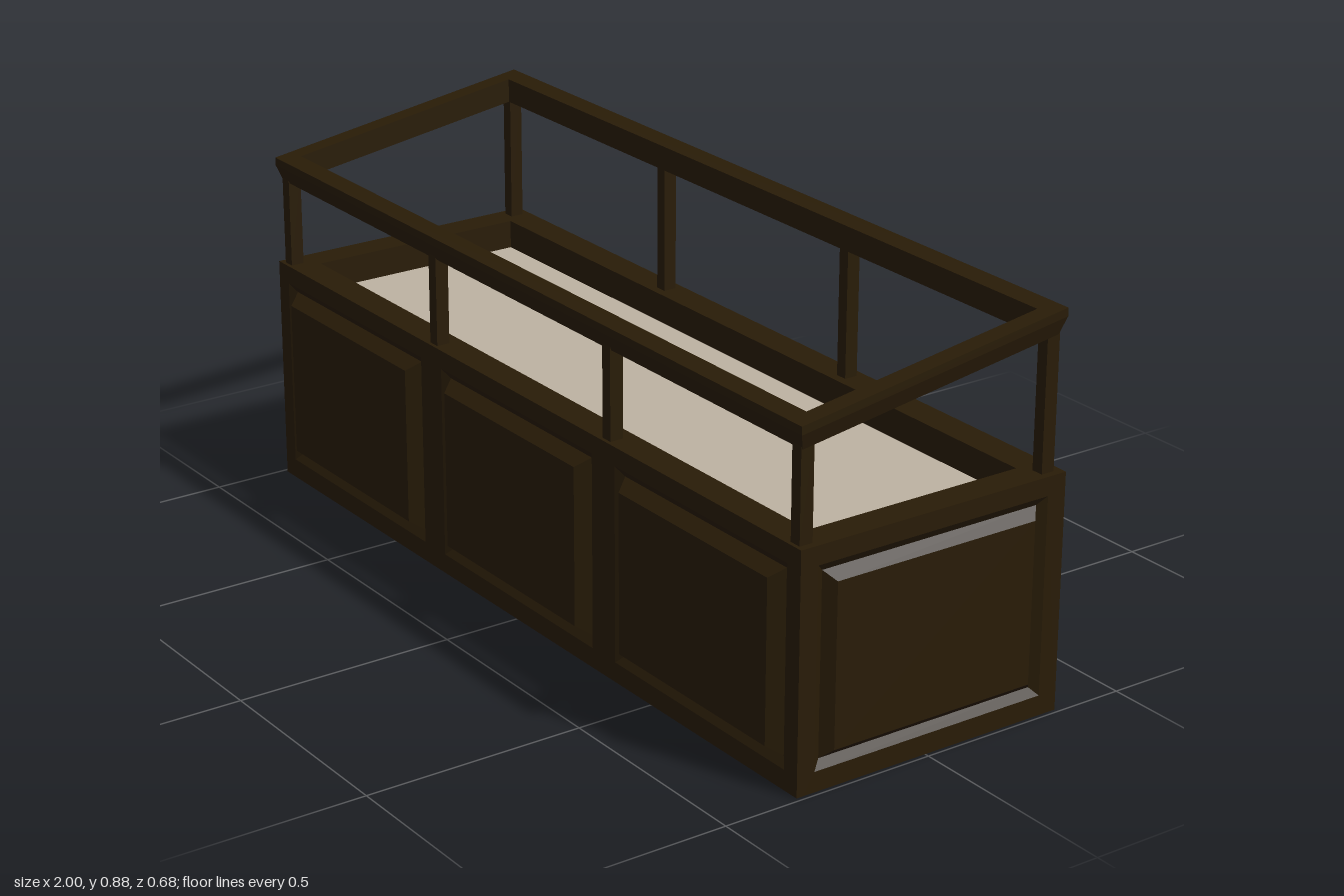
import * as THREE from 'three';

const wood = new THREE.MeshStandardMaterial({ color: 0x291c07 });
wood.name = 'dark wood';
const lining = new THREE.MeshStandardMaterial({ color: 0xbdb2a2 });
lining.name = 'pale lining';

// Body limits
const X = 0.99, FRONT = 0.322, BACK = -0.34, TOP = 0.528, FLOOR = 0.458;
const SKIN = 0.016, WALL = 0.07;

function add(parent, name, geometry, material, x = 0, y = 0, z = 0) {
  const mesh = new THREE.Mesh(geometry, material);
  mesh.name = name;
  mesh.position.set(x, y, z);
  parent.add(mesh);
  return mesh;
}

function rect(shape, x0, y0, x1, y1) {
  shape.moveTo(x0, y0);
  shape.lineTo(x1, y0);
  shape.lineTo(x1, y1);
  shape.lineTo(x0, y1);
  shape.closePath();
  return shape;
}

// Joins four-cornered rings with flat faces; cap closes the last ring
function loft(rings, cap) {
  const pos = [];
  const quad = (a, b, c, d) => [a, b, c, a, c, d].forEach(p => pos.push(...p));
  for (let k = 0; k < rings.length - 1; k++) {
    for (let i = 0; i < 4; i++) {
      const j = (i + 1) % 4;
      quad(rings[k][i], rings[k][j], rings[k + 1][j], rings[k + 1][i]);
    }
  }
  if (cap) quad(...rings[rings.length - 1]);
  const g = new THREE.BufferGeometry();
  g.setAttribute('position', new THREE.Float32BufferAttribute(pos, 3));
  g.computeVertexNormals();
  return g;
}

// Raised field surrounded by a V-shaped groove, facing +z
function raisedPanel(w, h, bump) {
  const profile = [[0, 0], [0.019, -0.013], [0.04, bump]];
  return loft(profile.map(([inset, z]) => {
    const a = w / 2 - inset, b = h / 2 - inset;
    return [[-a, -b, z], [a, -b, z], [a, b, z], [-a, b, z]];
  }), true);
}

// Flat frame with openings filled by raised panels
function panelledFace(name, width, centres, pw, bump) {
  const group = new THREE.Group();
  group.name = name;
  const y0 = 0.045, y1 = 0.486;
  const shape = rect(new THREE.Shape(), -width / 2, 0, width / 2, TOP);
  for (const c of centres) {
    shape.holes.push(rect(new THREE.Path(), c - pw / 2, y0, c + pw / 2, y1));
    add(group, 'raisedPanel', raisedPanel(pw, y1 - y0, bump), wood, c, (y0 + y1) / 2, 0);
  }
  add(group, 'panelFrame', new THREE.ExtrudeGeometry(shape, { depth: SKIN, bevelEnabled: false }),
    wood, 0, 0, -SKIN);
  return group;
}

export function createModel() {
  const model = new THREE.Group();
  model.name = 'displayCounter';

  // Carcass: solid base with an upstanding rim
  const cx = X - SKIN, cf = FRONT - SKIN;
  add(model, 'base', new THREE.BoxGeometry(cx * 2, FLOOR, cf - BACK), wood, 0, FLOOR / 2, (cf + BACK) / 2);
  const rim = rect(new THREE.Shape(), -cx, -cf, cx, -BACK);
  rim.holes.push(rect(new THREE.Path(), -X + WALL, -FRONT + WALL, X - WALL, -BACK - WALL));
  const rimGeo = new THREE.ExtrudeGeometry(rim, { depth: TOP - FLOOR, bevelEnabled: false });
  rimGeo.rotateX(-Math.PI / 2);
  add(model, 'rim', rimGeo, wood, 0, FLOOR, 0);

  // Lined tray floor
  add(model, 'trayLining', new THREE.BoxGeometry((X - WALL) * 2, 0.004, FRONT - BACK - 2 * WALL),
    lining, 0, FLOOR + 0.002, (FRONT + BACK) / 2);

  // Panelled front and ends
  const front = panelledFace('frontFace', X * 2, [-0.66, 0, 0.66], 0.578, 0.018);
  front.position.z = FRONT;
  model.add(front);
  for (const s of [1, -1]) {
    const end = panelledFace(s > 0 ? 'leftEnd' : 'rightEnd', cf - BACK, [-0.009 * s], 0.575, 0.01);
    end.rotation.y = s * Math.PI / 2;
    end.position.set(s * X, 0, (cf + BACK) / 2);
    model.add(end);
  }

  // Sloping top rail, mitred at the corners
  const railTop = z => 0.828 - 0.149 * z;
  const profile = [[0, 0], [0.043, 0], [0.043, -0.055], [0.012, -0.055], [0, -0.018], [0, 0]];
  const rings = profile.map(([inset, drop]) => {
    const x = 0.987 - inset, f = 0.323 - inset, b = -0.329 + inset;
    return [[-x, f], [x, f], [x, b], [-x, b]].map(([px, pz]) => [px, railTop(pz) + drop, pz]);
  });
  add(model, 'topRail', loft(rings, false), wood);

  // Posts along the front and back
  for (const z of [0.298, -0.306]) {
    const h = railTop(z) - 0.03 - TOP;
    for (const x of [-0.96, -0.33, 0.33, 0.96]) {
      add(model, z > 0 ? 'frontPost' : 'backPost', new THREE.BoxGeometry(0.028, h, 0.031), wood, x, TOP + h / 2, z);
    }
  }
  return model;
}
